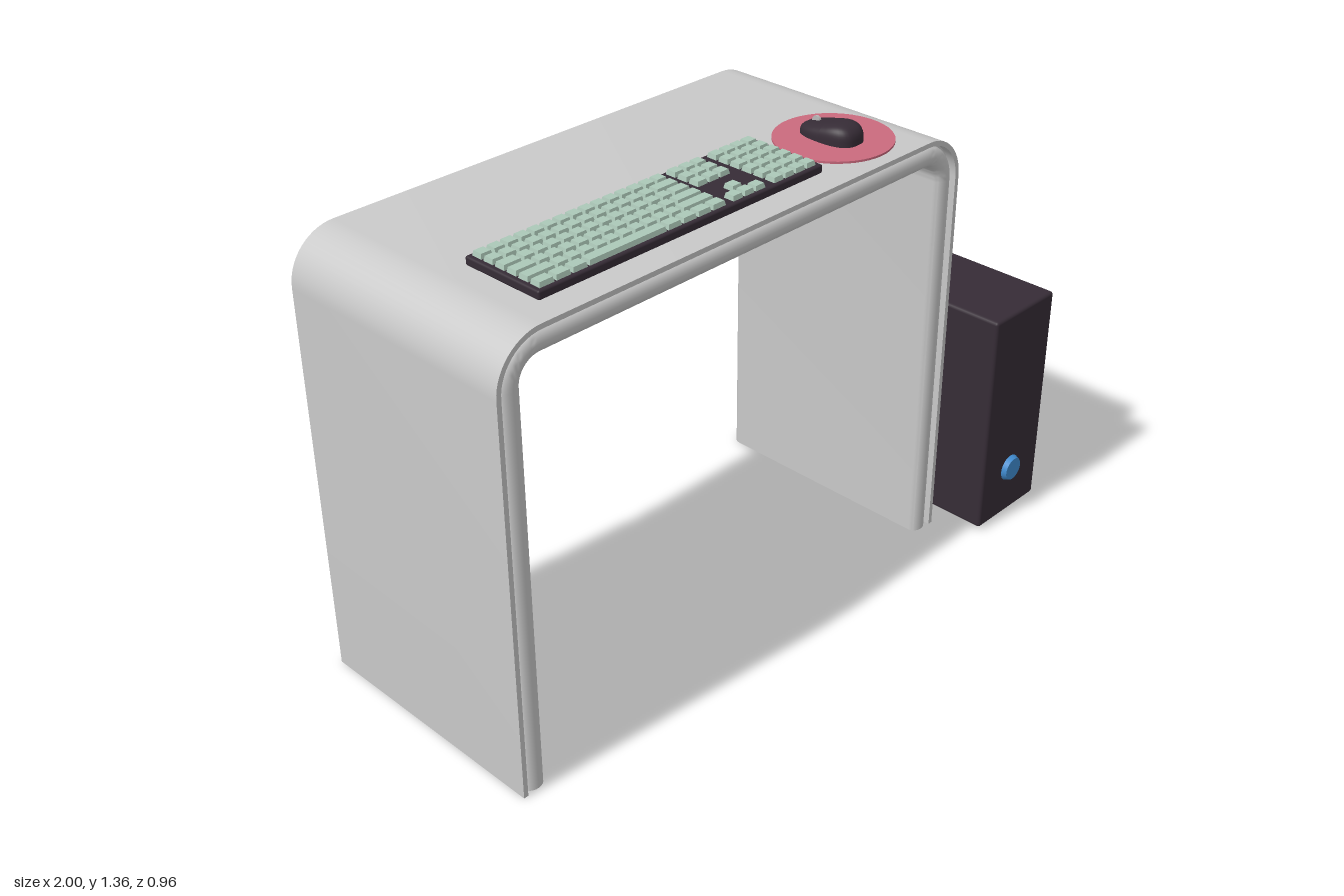
import * as THREE from 'three';
import { toCreasedNormals } from 'three/addons/utils/BufferGeometryUtils.js';
import { RoundedBoxGeometry } from 'three/addons/geometries/RoundedBoxGeometry.js';

function material(name, color, side = THREE.FrontSide) {
  const m = new THREE.MeshStandardMaterial({ color, side });
  m.name = name;
  return m;
}

function add(parent, name, geometry, mat, x = 0, y = 0, z = 0) {
  const mesh = new THREE.Mesh(geometry, mat);
  mesh.name = name;
  mesh.position.set(x, y, z);
  parent.add(mesh);
  return mesh;
}

// Arch-shaped desk: a hollow edge section swept up one leg, across and down the other
function deskGeometry() {
  const left = -1, right = 0.66, top = 1.305, R = 0.14, N = 14;
  const path = [{ x: left, y: 0, nx: 1, ny: 0 }];
  for (const [cx, start] of [[left + R, Math.PI], [right - R, Math.PI / 2]]) {
    for (let i = 0; i <= N; i++) {
      const a = start - (i / N) * Math.PI / 2, c = Math.cos(a), s = Math.sin(a);
      path.push({ x: cx + R * c, y: top - R + R * s, nx: -c, ny: -s });
    }
  }
  path.push({ x: right, y: 0, nx: -1, ny: 0 });

  // Half section as [depth from the outer face, z inset]: thin lip, groove, round bead
  const edge = [[0, 0], [0.014, 0], [0.014, 0.026], [0.02, 0.026]];
  for (let i = 0; i <= 10; i++) {
    const a = (i / 10) * Math.PI;
    edge.push([0.05 - 0.03 * Math.cos(a), 0.026 - 0.024 * Math.sin(a)]);
  }
  const section = [
    ...edge.map(([d, i]) => [d, 0.33 - i]),
    ...edge.slice().reverse().map(([d, i]) => [d, -0.435 + i]),
  ];
  const pos = [], index = [], M = section.length;
  for (const p of path) {
    for (const [d, z] of section) pos.push(p.x + p.nx * d, p.y + p.ny * d, z);
  }
  for (let i = 0; i < path.length - 1; i++) {
    for (let j = 0; j < M; j++) {
      const a = i * M + j, b = i * M + (j + 1) % M;
      index.push(a, b, a + M, b, b + M, a + M);
    }
  }
  const g = new THREE.BufferGeometry();
  g.setAttribute('position', new THREE.Float32BufferAttribute(pos, 3));
  g.setIndex(index);
  return toCreasedNormals(g, 0.6);
}

// Keycap: a box tapering to a smaller top
function keyGeometry(w, d) {
  const g = new THREE.BoxGeometry(w, 0.018, d), p = g.attributes.position;
  for (let i = 0; i < p.count; i++) {
    if (p.getY(i) > 0) {
      p.setX(i, p.getX(i) - Math.sign(p.getX(i)) * 0.004);
      p.setZ(i, p.getZ(i) - Math.sign(p.getZ(i)) * 0.004);
    }
  }
  g.computeVertexNormals();
  return g;
}

// Mouse shell: a squared-off dome, higher towards the palm
function mouseGeometry() {
  const g = new THREE.SphereGeometry(1, 36, 14, 0, Math.PI * 2, 0, Math.PI / 2);
  const p = g.attributes.position;
  const pow = (v, e) => Math.sign(v) * Math.pow(Math.abs(v), e);
  for (let i = 0; i < p.count; i++) {
    const x = p.getX(i), y = Math.max(0, p.getY(i)), z = p.getZ(i);
    const r = Math.hypot(x, z) || 1, k = Math.pow(Math.min(1, r), 0.6);
    const zz = pow(z / r, 0.8) * k;
    const height = 0.044 + 0.012 * Math.sin(Math.max(-1, Math.min(1, zz * 1.3)) * Math.PI / 2);
    p.setXYZ(i, 0.057 * pow(x / r, 0.7) * k, height * Math.pow(y, 0.6), 0.092 * zz);
  }
  g.computeVertexNormals();
  return g;
}

export function createModel() {
  const model = new THREE.Group();
  model.name = 'computerDesk';
  const grey = material('desk grey', 0xc9c9c9, THREE.DoubleSide);
  const dark = material('dark plum', 0x362c36);
  const green = material('key green', 0xacc8b8);
  const pink = material('pad pink', 0xcb6a7e);
  const blue = material('button blue', 0x418dd2);
  const silver = material('wheel silver', 0xb9b9b9);

  add(model, 'desk', deskGeometry(), grey);

  // Computer tower with a round power button
  const tower = new THREE.Group();
  tower.name = 'computerTower';
  model.add(tower);
  add(tower, 'towerCase', new RoundedBoxGeometry(0.28, 0.713, 0.945, 2, 0.01), dark, 0.86, 0.3685, -0.0075);
  const button = add(tower, 'powerButton', new THREE.CylinderGeometry(0.036, 0.044, 0.02, 24), blue, 0.855, 0.172, 0.47);
  button.rotation.x = Math.PI / 2;

  // Keyboard
  const keyboard = new THREE.Group();
  keyboard.name = 'keyboard';
  model.add(keyboard);
  add(keyboard, 'keyboardBase', new RoundedBoxGeometry(0.97, 0.025, 0.258, 2, 0.006), dark, -0.313, 1.3175, 0.122);
  const U = 0.0408, pitch = 0.0405;
  function keyRow(x, row, widths) {
    for (const w of widths) {
      // Negative widths are gaps
      if (w > 0) {
        add(keyboard, 'key', keyGeometry(w * U - 0.004, pitch - 0.005), green,
          x + w * U / 2, 1.334, 0.001 + (row + 0.5) * pitch);
      }
      x += Math.abs(w) * U;
    }
  }
  const ones = (n) => Array(n).fill(1);
  const main = [
    ones(15),
    [...ones(13), 2],
    [1.5, ...ones(12), 1.5],
    [1.75, ...ones(11), 2.25],
    [2.25, ...ones(10), 2.75],
    [1.25, 1.25, 1.25, 6.25, 1.25, 1.25, 1.25, 1.25],
  ];
  const navigation = [ones(3), ones(3), ones(3), [], [-1, 1], ones(3)];
  for (let row = 0; row < 6; row++) {
    keyRow(-0.788, row, main[row]);
    keyRow(-0.155, row, navigation[row]);
    keyRow(-0.005, row, ones(4));
  }

  // Round pad and mouse
  add(model, 'mousePad', new THREE.CylinderGeometry(0.166, 0.166, 0.006, 48), pink, 0.362, 1.308, 0.125);
  const mouse = new THREE.Group();
  mouse.name = 'mouse';
  mouse.position.set(0.362, 1.311, 0.118);
  model.add(mouse);
  add(mouse, 'mouseBody', mouseGeometry(), dark);
  const wheel = add(mouse, 'scrollWheel', new THREE.CylinderGeometry(0.013, 0.013, 0.008, 20), silver, 0, 0.031, -0.053);
  wheel.rotation.z = Math.PI / 2;

  return model;
}
